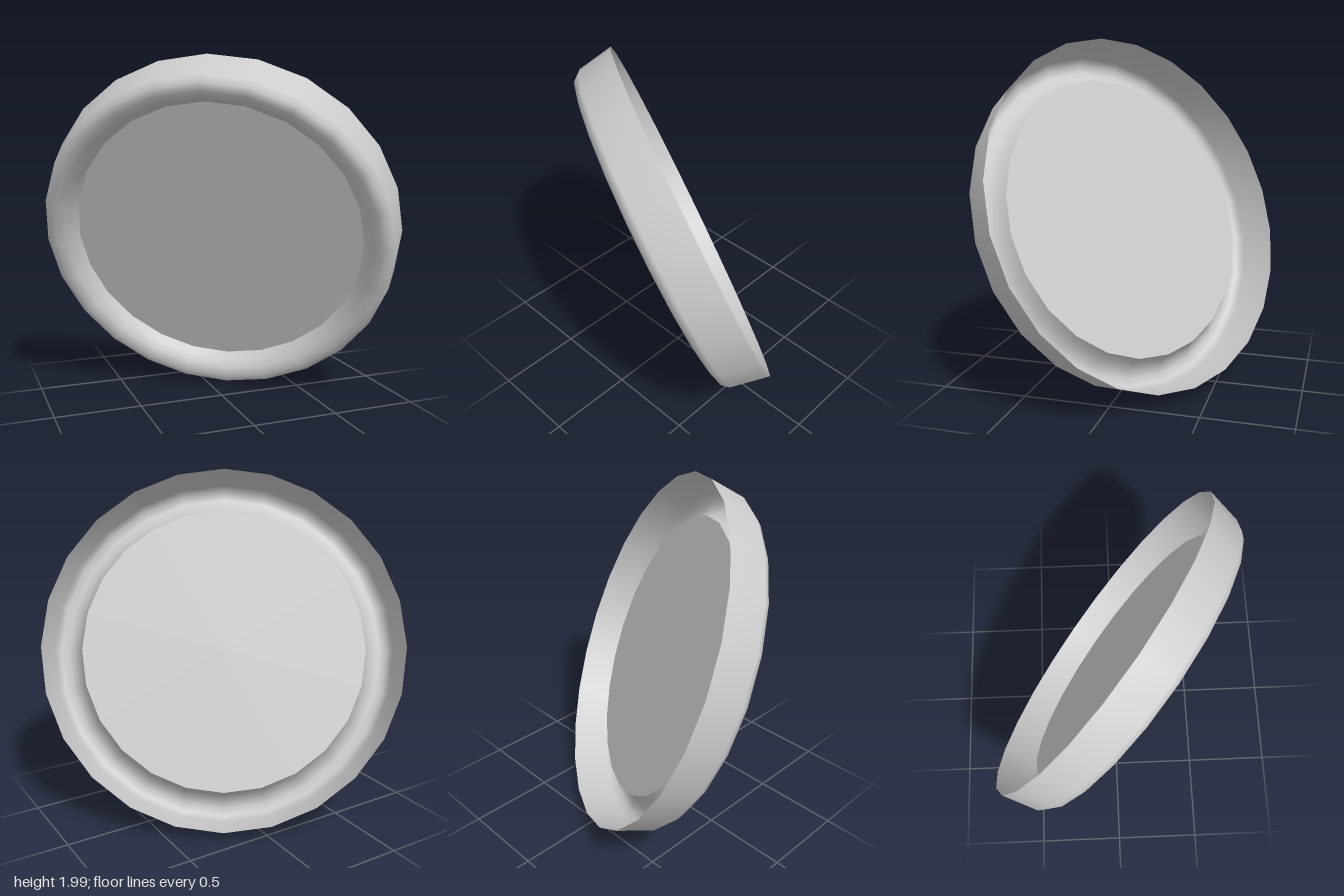
import * as THREE from 'three';

const SIDES = 24;

export function createModel() {
  const model = new THREE.Group();
  const material = new THREE.MeshStandardMaterial({ color: 0xcccccc, side: THREE.DoubleSide });

  // Tilted assembly: local +y is the direction the dish faces
  const dish = new THREE.Group();
  dish.name = 'tiltedDish';
  const axis = new THREE.Vector3(-0.491, -0.38, 0.784).normalize();
  const up = new THREE.Vector3(0, 1, 0).projectOnPlane(axis).normalize();
  const side = new THREE.Vector3().crossVectors(axis, up);
  dish.quaternion.setFromRotationMatrix(new THREE.Matrix4().makeBasis(side, axis, up));
  dish.position.set(-0.04, 0.97, 0.03);
  model.add(dish);

  // Thin shell: skirt open at the back, rolling over a rounded lip to the panel
  const profile = [
    [1.05, -0.145], [1.015, 0.07], [0.985, 0.108], [0.94, 0.12],
    [0.895, 0.095], [0.86, 0.05], [0.84, 0],
  ].map(([r, h]) => new THREE.Vector2(r, h));
  const rim = new THREE.Mesh(new THREE.LatheGeometry(profile, SIDES), material);
  rim.name = 'rim';
  dish.add(rim);

  // Flat round panel closing the inner edge of the lip
  const panel = new THREE.Mesh(new THREE.CircleGeometry(0.84, SIDES).rotateX(-Math.PI / 2), material);
  panel.name = 'panel';
  dish.add(panel);

  return model;
}
